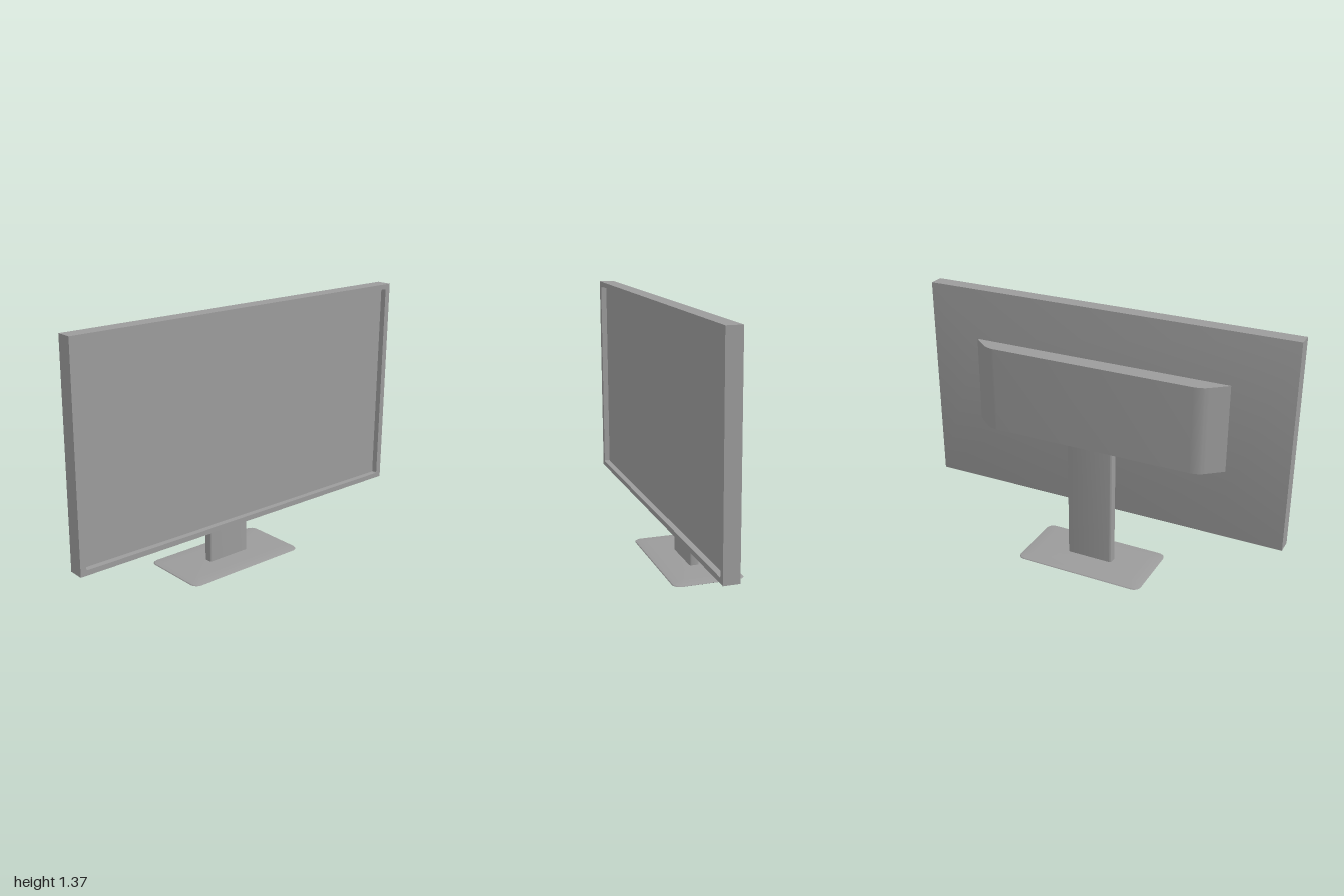
import * as THREE from 'three';
import { toCreasedNormals } from 'three/addons/utils/BufferGeometryUtils.js';

const material = new THREE.MeshStandardMaterial({ color: 0x9b9b9b });

function add(group, name, geometry) {
  const mesh = new THREE.Mesh(geometry, material);
  mesh.name = name;
  group.add(mesh);
  return mesh;
}

// Points of a rounded rectangle centred on (cx, cy), counter-clockwise
function roundedRect(w, h, r, cx = 0, cy = 0, steps = 6) {
  const points = [];
  [[1, 1], [-1, 1], [-1, -1], [1, -1]].forEach(([sx, sy], corner) => {
    for (let i = 0; i <= steps; i++) {
      const a = (corner + i / steps) * Math.PI / 2;
      points.push(new THREE.Vector2(
        cx + sx * (w / 2 - r) + r * Math.cos(a),
        cy + sy * (h / 2 - r) + r * Math.sin(a)));
    }
  });
  return points;
}

// Extrude a plan drawn in (x, -z) upward from y0 to y1
function extrudeUp(shape, y0, y1) {
  const g = new THREE.ExtrudeGeometry(shape, { depth: y1 - y0, bevelEnabled: false, curveSegments: 8 });
  g.rotateX(-Math.PI / 2).translate(0, y0, 0);
  return toCreasedNormals(g, 0.6);
}

export function createModel() {
  const model = new THREE.Group();
  model.name = 'monitor';
  const bottomY = 0.267, topY = 1.37, height = topY - bottomY, midY = (topY + bottomY) / 2;

  // Display: frame with a recessed screen
  const display = new THREE.Group();
  display.name = 'display';
  model.add(display);
  const outline = new THREE.Shape();
  outline.moveTo(-1, bottomY);
  outline.lineTo(1, bottomY);
  outline.lineTo(1, topY);
  outline.lineTo(-1, topY);
  outline.closePath();
  outline.holes.push(new THREE.Path(roundedRect(1.938, 1.05, 0.006, 0, midY, 3)));
  const frame = new THREE.ExtrudeGeometry(outline, { depth: 0.08, bevelEnabled: false });
  add(display, 'frame', frame.translate(0, 0, 0.105));
  add(display, 'screen', new THREE.PlaneGeometry(1.95, 1.06)).position.set(0, midY, 0.155);

  // Back shell: a box whose rear face is drawn in
  const shell = new THREE.BoxGeometry(2, height, 0.055);
  const p = shell.attributes.position;
  for (let i = 0; i < p.count; i++) {
    if (p.getZ(i) < 0) p.setXY(i, p.getX(i) * 0.7, p.getY(i) * 0.6 / height);
  }
  add(display, 'backShell', toCreasedNormals(shell, 0.5)).position.set(0, midY, 0.0775);

  // Rear housing: sloped ends rounding into a flat back
  const plan = new THREE.Shape();
  plan.moveTo(-0.7, -0.052);
  plan.lineTo(0.7, -0.052);
  plan.lineTo(0.615, 0.018);
  plan.quadraticCurveTo(0.59, 0.04, 0.545, 0.043);
  plan.lineTo(-0.545, 0.043);
  plan.quadraticCurveTo(-0.59, 0.04, -0.615, 0.018);
  plan.closePath();
  add(model, 'rearHousing', extrudeUp(plan, 0.668, 1.122));

  // Stand
  const stand = new THREE.Group();
  stand.name = 'stand';
  model.add(stand);
  const neckPlan = new THREE.Shape(roundedRect(0.256, 0.052, 0.012, 0.006, -0.002));
  add(stand, 'neck', extrudeUp(neckPlan, 0.008, 0.69));

  // Base plate: stacked rounded outlines, slightly domed toward the top
  const levels = [[0, 0.008], [0.004, 0], [0.008, 0.003], [0.0115, 0.02], [0.014, 0.07]];
  const rings = levels.map(([y, inset]) =>
    roundedRect(0.714 - 2 * inset, 0.376 - 2 * inset, 0.04 - inset * 0.4, 0.005)
      .map(v => new THREE.Vector3(v.x, y, -v.y)));
  const n = rings[0].length, last = (rings.length - 1) * n;
  const verts = rings.flatMap(ring => ring.flatMap(v => v.toArray()));
  const index = [], bottom = last + n, top = bottom + 1;
  verts.push(0.005, 0, 0, 0.005, 0.014, 0);
  for (let i = 0; i < n; i++) {
    const j = (i + 1) % n;
    for (let k = 0; k < last; k += n) {
      index.push(k + i, k + j, k + n + j, k + i, k + n + j, k + n + i);
    }
    index.push(bottom, j, i, top, last + i, last + j);
  }
  const base = new THREE.BufferGeometry();
  base.setAttribute('position', new THREE.Float32BufferAttribute(verts, 3));
  base.setIndex(index);
  add(stand, 'basePlate', toCreasedNormals(base, 0.6));

  return model;
}
